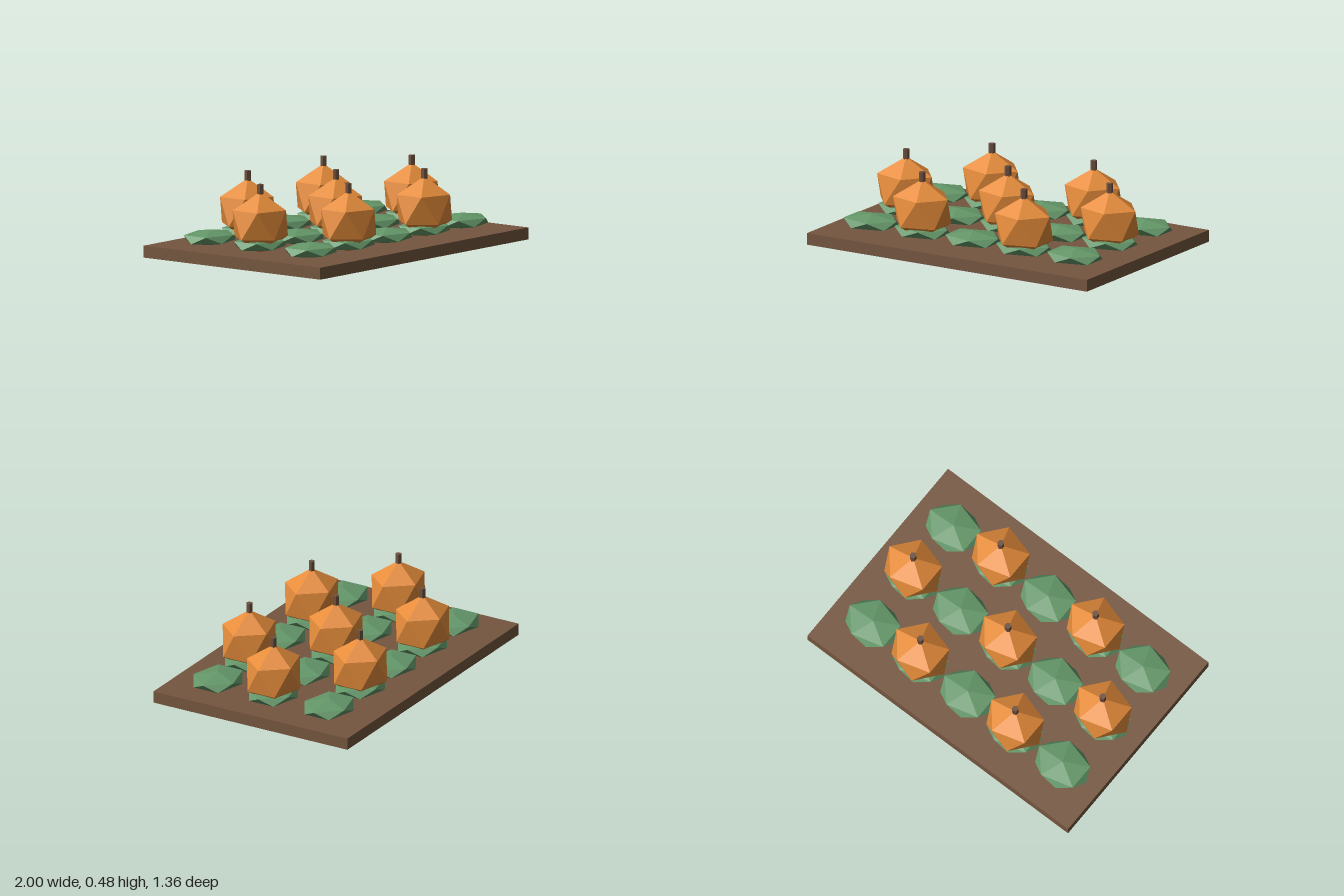
import * as THREE from 'three';

// Icosahedron standing on a vertex, upper ring pointing to +x
function uprightIcosahedron() {
  const h = 1 / Math.sqrt(5), r = 2 * h;
  const points = [0, 1, 0];
  for (const [y, turn] of [[h, 0], [-h, Math.PI / 5]]) {
    for (let k = 0; k < 5; k++) {
      const a = turn + (k * Math.PI * 2) / 5;
      points.push(r * Math.cos(a), y, -r * Math.sin(a));
    }
  }
  points.push(0, -1, 0);
  const faces = [];
  for (let k = 0; k < 5; k++) {
    const n = (k + 1) % 5;
    const u = 1 + k, un = 1 + n, l = 6 + k, ln = 6 + n;
    faces.push(0, u, un, u, l, un, l, ln, un, 11, ln, l);
  }
  return new THREE.PolyhedronGeometry(points, faces, 1, 0);
}

export function createModel() {
  const group = new THREE.Group();
  const material = (color) => new THREE.MeshStandardMaterial({ color, flatShading: true });
  const soilMat = material(0x75563f);
  const leafMat = material(0x649769);
  const pumpkinMat = material(0xe58c3a);
  const stemMat = material(0x6d5140);

  const add = (parent, name, geometry, mat, x, y, z) => {
    const mesh = new THREE.Mesh(geometry, mat);
    mesh.name = name;
    mesh.position.set(x, y, z);
    parent.add(mesh);
    return mesh;
  };

  // Soil bed
  const soilTop = 0.073;
  add(group, 'soilBed', new THREE.BoxGeometry(2, soilTop, 1.364), soilMat, 0, soilTop / 2, 0);

  const leafGeo = uprightIcosahedron().scale(0.2, 0.048, 0.163);
  const pumpkinGeo = uprightIcosahedron().scale(0.204, 0.19, 0.181);
  const stemGeo = new THREE.CylinderGeometry(0.02, 0.02, 0.08, 6);

  // Grid of leaf clumps, with a pumpkin on every other one
  for (let row = -1; row <= 1; row++) {
    for (let col = -2; col <= 2; col++) {
      const plant = new THREE.Group();
      plant.name = 'plant';
      plant.position.set(col * 0.364, 0, row * 0.39);
      add(plant, 'leaves', leafGeo, leafMat, 0, 0.12, 0);
      if ((row + col) % 2 === 0) {
        add(plant, 'pumpkin', pumpkinGeo, pumpkinMat, 0, 0.245, 0);
        add(plant, 'stem', stemGeo, stemMat, 0, 0.442, 0);
      }
      group.add(plant);
    }
  }
  return group;
}
